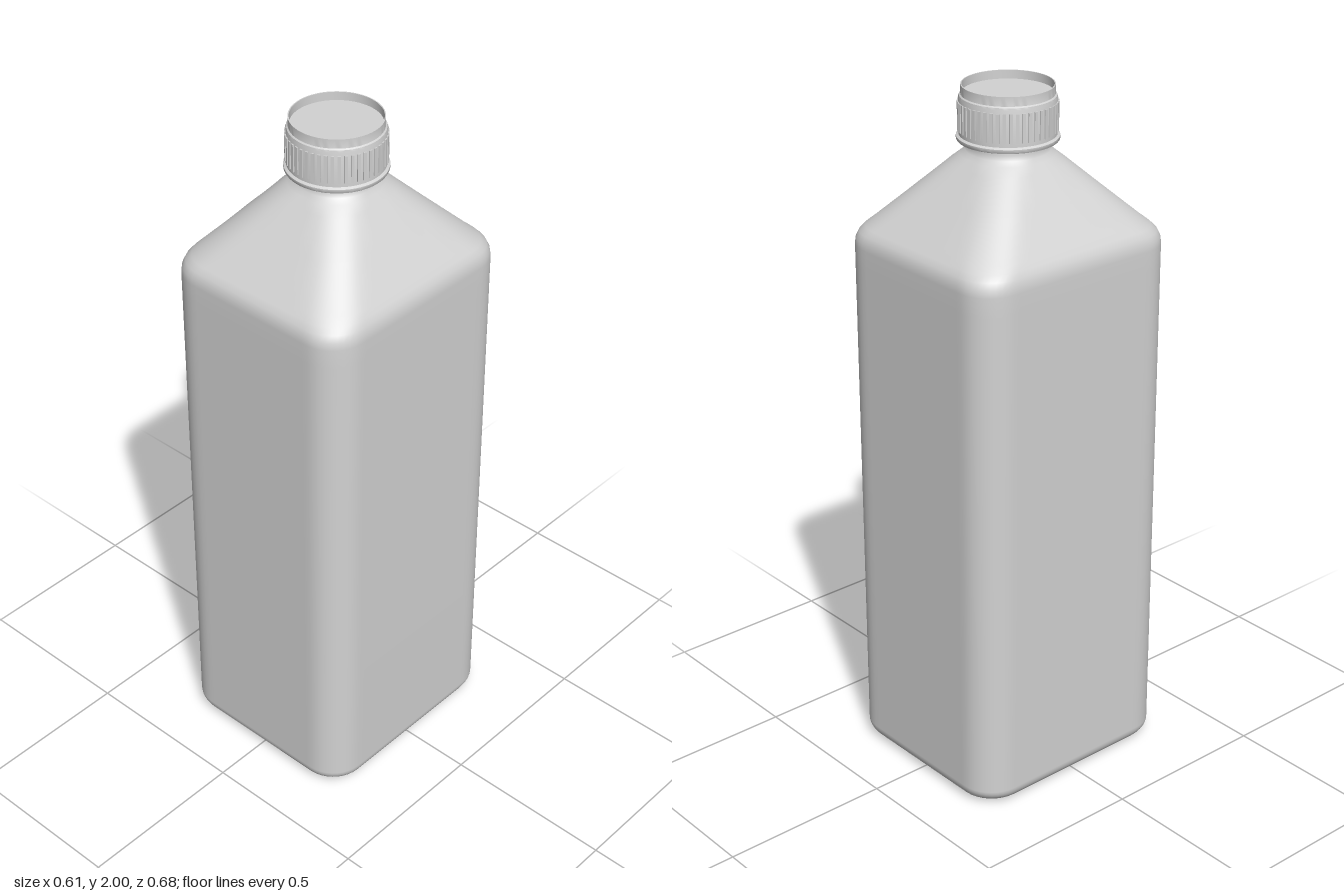
import * as THREE from 'three';
import { mergeGeometries, toCreasedNormals } from 'three/addons/utils/BufferGeometryUtils.js';

const RAYS = 160;

// Distance from the centre to the edge of a rounded rectangle along one direction
function edgeDistance(hx, hz, r, c, s) {
  const a = hx - r, b = hz - r;
  c = Math.abs(c);
  s = Math.abs(s);
  if (hx * s <= b * c) return hx / c;
  if (hz * c <= a * s) return hz / s;
  const m = c * a + s * b;
  return m + Math.sqrt(Math.max(0, m * m - (a * a + b * b - r * r)));
}

// Skin over a stack of rounded rectangles: [half x, half z, corner radius, y]
function loft(sections, shapeY) {
  const pos = [], index = [];
  sections.forEach(([hx, hz, r, y], i) => {
    for (let j = 0; j < RAYS; j++) {
      const t = (j / RAYS) * Math.PI * 2;
      const c = Math.cos(t), s = Math.sin(t);
      const d = edgeDistance(hx, hz, r, c, s);
      pos.push(c * d, shapeY(c * d, y, s * d), s * d);
      if (i === sections.length - 1) continue;
      const k = (j + 1) % RAYS;
      const a = i * RAYS + j, b = i * RAYS + k;
      index.push(a, a + RAYS, b, b, a + RAYS, b + RAYS);
    }
  });
  const geo = new THREE.BufferGeometry();
  geo.setAttribute('position', new THREE.Float32BufferAttribute(pos, 3));
  geo.setIndex(index);
  geo.computeVertexNormals();
  return geo;
}

export function createModel() {
  const group = new THREE.Group();
  const plastic = new THREE.MeshStandardMaterial({ color: 0xd2d2d2 });
  plastic.name = 'pale grey plastic';
  const add = (name, geo, parent = group) => {
    const mesh = new THREE.Mesh(geo, plastic);
    mesh.name = name;
    parent.add(mesh);
    return mesh;
  };

  // Bottle: recessed base, rounded foot, straight walls, tapered shoulder, neck
  const sections = [
    [0.0005, 0.0005, 0.0004, 0.03],
    [0.15, 0.17, 0.04, 0.03],
    [0.16, 0.18, 0.045, 0.029],
    [0.17, 0.19, 0.05, 0.024],
    [0.19, 0.215, 0.06, 0.008],
    [0.2, 0.225, 0.065, 0.003],
    [0.215, 0.245, 0.07, 0],
  ];
  const foot = 0.045;
  for (let i = 0; i <= 8; i++) {
    const t = (i / 8) * Math.PI / 2;
    const inset = foot * (1 - Math.sin(t));
    sections.push([0.305 - inset, 0.34 - inset, 0.1 - inset * 0.3, foot * (1 - Math.cos(t))]);
  }
  sections.push(
    [0.305, 0.34, 0.1, 0.5], [0.305, 0.34, 0.1, 1.0], [0.305, 0.34, 0.1, 1.5],
    [0.305, 0.34, 0.1, 1.555], [0.303, 0.338, 0.1, 1.575], [0.297, 0.331, 0.1, 1.593],
    [0.287, 0.318, 0.1, 1.608], [0.274, 0.302, 0.1, 1.623], [0.2, 0.215, 0.102, 1.714],
    [0.14, 0.145, 0.105, 1.789], [0.122, 0.124, 0.107, 1.81], [0.112, 0.113, 0.107, 1.822],
    [0.107, 0.107, 0.1069, 1.835], [0.107, 0.107, 0.1069, 1.87]
  );
  // Small notches across the foot at the middle of the left and right edges
  const notch = (x, y, z) => {
    const inside = y < 0.02 && Math.abs(x) > 0.2 && Math.abs(x) < 0.285 && Math.abs(z) < 0.025;
    return inside ? y + 0.012 * Math.cos((z / 0.025) * Math.PI / 2) : y;
  };
  add('bottleBody', loft(sections, notch));

  // Screw cap: retaining ring, skirt, thin raised rim and sunken top
  const cap = new THREE.Group();
  cap.name = 'screwCap';
  group.add(cap);
  const profile = [
    [0.1, 1.85], [0.137, 1.85], [0.139, 1.853], [0.139, 1.861], [0.132, 1.865],
    [0.132, 1.965], [0.13, 1.971], [0.126, 1.974], [0.126, 2.0], [0.123, 2.0],
    [0.123, 1.976], [0, 1.976],
  ].map(([r, y]) => new THREE.Vector2(r, y));
  add('capShell', toCreasedNormals(new THREE.LatheGeometry(profile, 72), 0.6), cap);

  // Grip ribs around the skirt
  const ribs = [];
  const count = 48;
  for (let i = 0; i < count; i++) {
    const rib = new THREE.BoxGeometry(0.009, 0.08, 0.008);
    rib.translate(0, 1.916, 0.1315);
    rib.rotateY((i / count) * Math.PI * 2);
    ribs.push(rib);
  }
  add('gripRibs', mergeGeometries(ribs), cap);

  return group;
}
